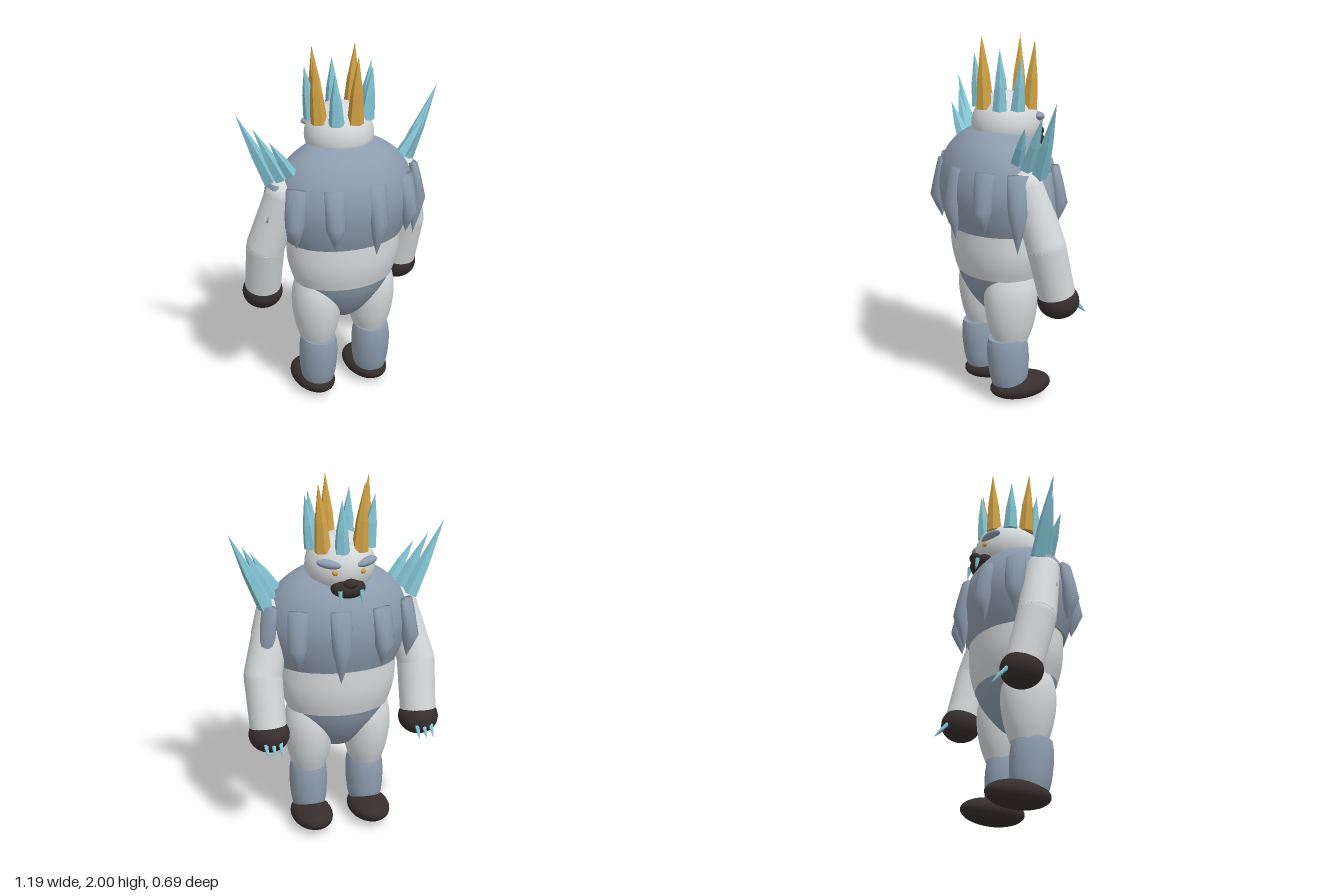
import * as THREE from 'three';

const mat = (name, color) => {
  const m = new THREE.MeshStandardMaterial({ color });
  m.name = name;
  return m;
};
const V = (x, y, z) => new THREE.Vector3(x, y, z);
const UP = V(0, 1, 0);

export function createModel() {
  const model = new THREE.Group();
  model.name = 'frostGiant';
  const white = mat('paleFur', 0xd6d9db);
  const grey = mat('blueGreyFur', 0x8d9cae);
  const ice = mat('ice', 0x85c6d6);
  const gold = mat('gold', 0xd2a345);
  const dark = mat('darkSkin', 0x362f2e);

  const add = (name, geo, material) => {
    const m = new THREE.Mesh(geo, material);
    m.name = name;
    model.add(m);
    return m;
  };

  const ball = (name, material, p, r) => {
    const m = add(name, new THREE.SphereGeometry(1, 32, 20), material);
    m.position.set(...p);
    m.scale.set(...r);
    return m;
  };

  // Smooth turned shape from [radius, y] pairs, closed at both ends
  const turned = (name, material, profile, scaleZ, p = [0, 0, 0]) => {
    const curve = new THREE.SplineCurve(profile.map(([r, y]) => new THREE.Vector2(r, y)));
    const pts = curve.getPoints(24);
    pts.forEach(q => { q.x = Math.max(q.x, 0); });
    const m = add(name, new THREE.LatheGeometry(pts, 48), material);
    m.scale.z = scaleZ;
    m.position.set(...p);
    for (const [end, tilt] of [[pts[0], Math.PI / 2], [pts[24], -Math.PI / 2]]) {
      if (end.x < 0.01) continue;
      const cap = new THREE.Mesh(new THREE.CircleGeometry(end.x, 48).rotateX(tilt), material);
      cap.name = name + 'Cap';
      cap.position.y = end.y;
      m.add(cap);
    }
    return m;
  };

  // Round limb segment between two points
  const limb = (name, material, a, b, ra, rb) => {
    const d = b.clone().sub(a);
    const m = add(name, new THREE.CylinderGeometry(rb, ra, d.length(), 28), material);
    m.position.copy(a).add(b).multiplyScalar(0.5);
    m.quaternion.setFromUnitVectors(UP, d.normalize());
    return m;
  };

  // Faceted pointed spike from base to tip, slightly convex
  const spike = (name, material, base, tip, r, sides) => {
    const d = tip.clone().sub(base), h = d.length();
    const pts = [[0, 0], [r, 0], [r * 0.72, h * 0.45], [0, h]].map(q => new THREE.Vector2(...q));
    const geo = new THREE.LatheGeometry(pts, sides).toNonIndexed();
    geo.computeVertexNormals();
    const m = add(name, geo, material);
    m.position.copy(base);
    m.quaternion.setFromUnitVectors(UP, d.normalize());
  };

  // Trunk
  turned('pelvis', grey, [[0, 0.46], [0.08, 0.485], [0.17, 0.56], [0.24, 0.65], [0.278, 0.73]], 0.76);
  turned('belly', white, [[0.285, 0.725], [0.312, 0.8], [0.327, 0.88], [0.33, 1.0]], 0.74);
  turned('furMantle', grey, [[0.335, 0.985], [0.375, 1.08], [0.4, 1.2], [0.38, 1.32],
    [0.32, 1.42], [0.23, 1.49], [0.14, 1.53]], 0.75, [0, 0, 0.008]);

  // Hanging fur tufts: broad flat top, bulging middle, pointed tip
  const tips = [0.92, 1.01, 0.94, 1.01, 1.01, 0.94, 1.01, 1.01, 0.94, 1.01, 0.92];
  tips.forEach((tipY, i) => {
    const a = ((i + 0.5) / 11) * Math.PI * 2;
    const top = 1.34, mid = 1.14;
    const pts = [[0, tipY], [0.026, tipY + (mid - tipY) * 0.45], [0.052, mid], [0.057, 1.25],
      [0.057, top], [0, top]].map(q => new THREE.Vector2(...q));
    const geo = new THREE.LatheGeometry(pts, 16);
    const pos = geo.attributes.position;
    for (let k = 0; k < pos.count; k++) {
      const y = pos.getY(k);
      const up = Math.max(0, (y - mid) / (top - mid));
      const down = Math.max(0, (mid - y) / (mid - tipY));
      pos.setZ(k, pos.getZ(k) * (0.9 - 0.45 * up) - 0.025 * up - 0.02 * down);
    }
    geo.computeVertexNormals();
    const m = add('furTuft', geo, grey);
    m.position.set(0.435 * Math.cos(a), 0, 0.302 * Math.sin(a));
    m.rotation.y = Math.atan2(Math.cos(a) / 0.435, Math.sin(a) / 0.302);
  });

  // Head and face
  ball('head', white, [0, 1.545, -0.05], [0.19, 0.175, 0.187]);
  ball('muzzle', dark, [0, 1.447, -0.2], [0.095, 0.055, 0.07]);
  ball('nose', dark, [0, 1.485, -0.25], [0.04, 0.026, 0.03]);

  // Crown of gold and ice spikes
  for (let i = 0; i < 9; i++) {
    const a = (i * 40 * Math.PI) / 180, c = Math.cos(a), s = Math.sin(a);
    const isGold = i > 0 && i % 2 === 0;
    spike(isGold ? 'goldCrownSpike' : 'iceCrownSpike', isGold ? gold : ice,
      V(0.152 * c, 1.635, -0.045 + 0.138 * s),
      V(0.19 * c, isGold ? 2.0 : 1.92, -0.045 + 0.16 * s), isGold ? 0.046 : 0.043, 6);
  }

  for (const s of [1, -1]) {
    const side = s > 0 ? 'left' : 'right';

    // Face details
    ball(side + 'Eye', gold, [s * 0.075, 1.54, -0.218], [0.016, 0.016, 0.014]);
    const brow = ball(side + 'Brow', grey, [s * 0.1, 1.583, -0.195], [0.068, 0.024, 0.034]);
    brow.rotation.set(0, s * -0.4, s * 0.15);
    brow.rotation.y = s * -0.35;
    spike(side + 'Fang', ice, V(s * 0.058, 1.45, -0.255), V(s * 0.06, 1.375, -0.268), 0.014, 6);

    // Shoulder spikes
    spike(side + 'ShoulderSpike', ice, V(s * 0.405, 1.33, -0.04), V(s * 0.597, 1.737, -0.035), 0.046, 5);
    spike(side + 'ShoulderSpike', ice, V(s * 0.37, 1.365, 0.01), V(s * 0.52, 1.66, 0.0), 0.042, 5);
    spike(side + 'ShoulderSpike', ice, V(s * 0.335, 1.4, 0.05), V(s * 0.46, 1.6, 0.07), 0.038, 5);

    // Arm
    const shoulder = V(s * 0.36, 1.27, 0.0);
    const elbow = V(s * 0.438, 0.955, -0.07);
    const wrist = V(s * 0.432, 0.68, -0.14);
    ball(side + 'Shoulder', white, shoulder.toArray(), [0.095, 0.095, 0.095]);
    limb(side + 'UpperArm', white, shoulder, elbow, 0.095, 0.105);
    ball(side + 'Elbow', white, elbow.toArray(), [0.104, 0.104, 0.104]);
    limb(side + 'Forearm', white, elbow, wrist, 0.105, 0.1);
    ball(side + 'Hand', dark, [s * 0.43, 0.643, -0.152], [0.112, 0.098, 0.113]);
    for (const dx of [-0.04, 0, 0.04]) {
      spike(side + 'Claw', ice, V(s * 0.43 + dx, 0.625, -0.245), V(s * 0.43 + dx, 0.565, -0.3), 0.013, 6);
    }

    // Leg and foot
    turned(side + 'Thigh', white, [[0.09, 0.36], [0.118, 0.45], [0.136, 0.57], [0.13, 0.68],
      [0.09, 0.78], [0, 0.82]], 1.1, [s * 0.168, 0, 0.0]);
    const shin = turned(side + 'Shin', grey, [[0.085, -0.15], [0.1, -0.08], [0.107, 0.02],
      [0.104, 0.09], [0.096, 0.135]], 1.1, [s * 0.168, 0.24, 0.015]);
    shin.rotation.x = 0.06;
    ball(side + 'Foot', dark, [s * 0.17, 0.075, -0.06], [0.116, 0.072, 0.18]).rotation.x = 0.03;
  }
  return model;
}
